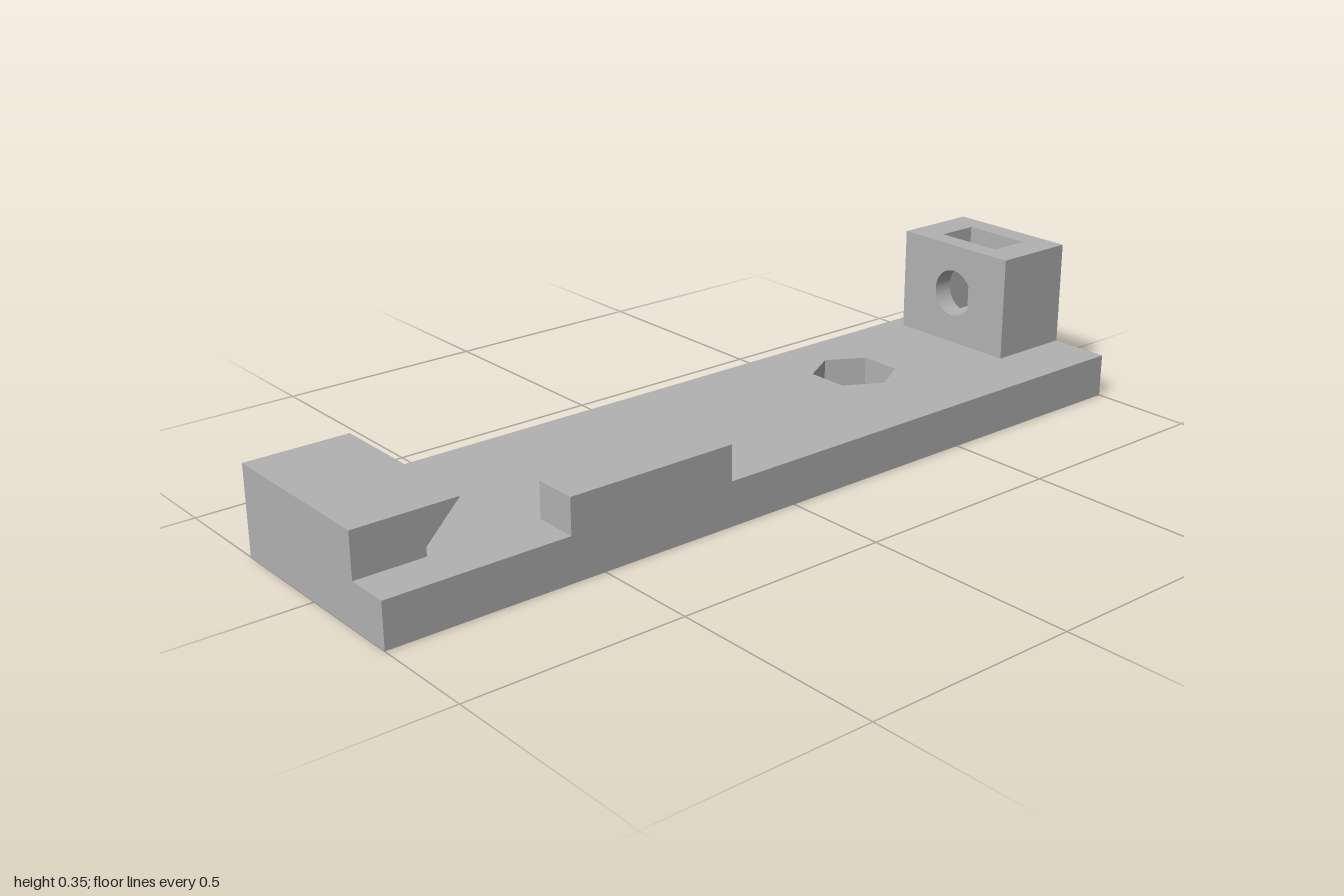
import * as THREE from 'three';

const grey = new THREE.MeshStandardMaterial({ color: 0xb2b2b2 });
grey.name = 'plain grey';

const polygon = (points) => new THREE.Shape(points.map(([x, y]) => new THREE.Vector2(x, y)));
const rect = (x0, x1, y0, y1) => polygon([[x0, y0], [x1, y0], [x1, y1], [x0, y1]]);
const extrude = (shape, depth) =>
  new THREE.ExtrudeGeometry(shape, { depth, bevelEnabled: false, curveSegments: 48 });

export function createModel() {
  const model = new THREE.Group();
  model.name = 'clampBase';
  const add = (name, geometry, parent = model) => {
    const mesh = new THREE.Mesh(geometry, grey);
    mesh.name = name;
    parent.add(mesh);
  };

  const top = 0.102;   // upper face of the base plate
  const half = 0.255;  // half the plate's depth
  const axis = 0.051;  // distance of both holes behind the centre line

  // Base plate with a hexagonal through hole
  const plate = rect(-1, 1, -half, half);
  const hexagon = [];
  for (let i = 0; i < 6; i++) {
    const a = Math.PI / 2 - i * Math.PI / 3;
    hexagon.push(new THREE.Vector2(0.467 + 0.1 * Math.cos(a), axis + 0.1 * Math.sin(a)));
  }
  plate.holes.push(new THREE.Path(hexagon));
  add('basePlate', extrude(plate, top).rotateX(-Math.PI / 2));

  // Undercut jaw at the right end
  const jaw = polygon([[-1, top], [-0.84, top], [-0.84, 0.122], [-0.76, 0.204], [-1, 0.204]]);
  add('undercutJaw', extrude(jaw, 0.153 + half).translate(0, 0, -half));

  // Low stop along the front edge
  add('frontStop', new THREE.BoxGeometry(0.405, 0.082, 0.102).translate(-0.3775, top + 0.041, 0.204));

  // Screw block: two bored walls around a nut pocket that opens upwards
  const block = new THREE.Group();
  block.name = 'screwBlock';
  model.add(block);
  const [back, front, high, floor] = [0.214, -0.112, 0.347, 0.14];
  const slab = (name, shape, x0, x1) =>
    add(name, extrude(shape, x1 - x0).rotateY(Math.PI / 2).translate(x0, 0, 0), block);
  const wall = rect(front, back, top, high);
  wall.holes.push(new THREE.Path().absarc(axis, 0.226, 0.057, 0, Math.PI * 2, true));
  slab('innerWall', wall, 0.796, 0.845);
  slab('outerWall', wall, 0.945, 1);
  const [pocketBack, pocketFront] = [axis + 0.085, axis - 0.085];
  slab('nutPocket', polygon([
    [front, top], [back, top], [back, high], [pocketBack, high],
    [pocketBack, floor], [pocketFront, floor], [pocketFront, high], [front, high],
  ]), 0.845, 0.945);

  return model;
}
